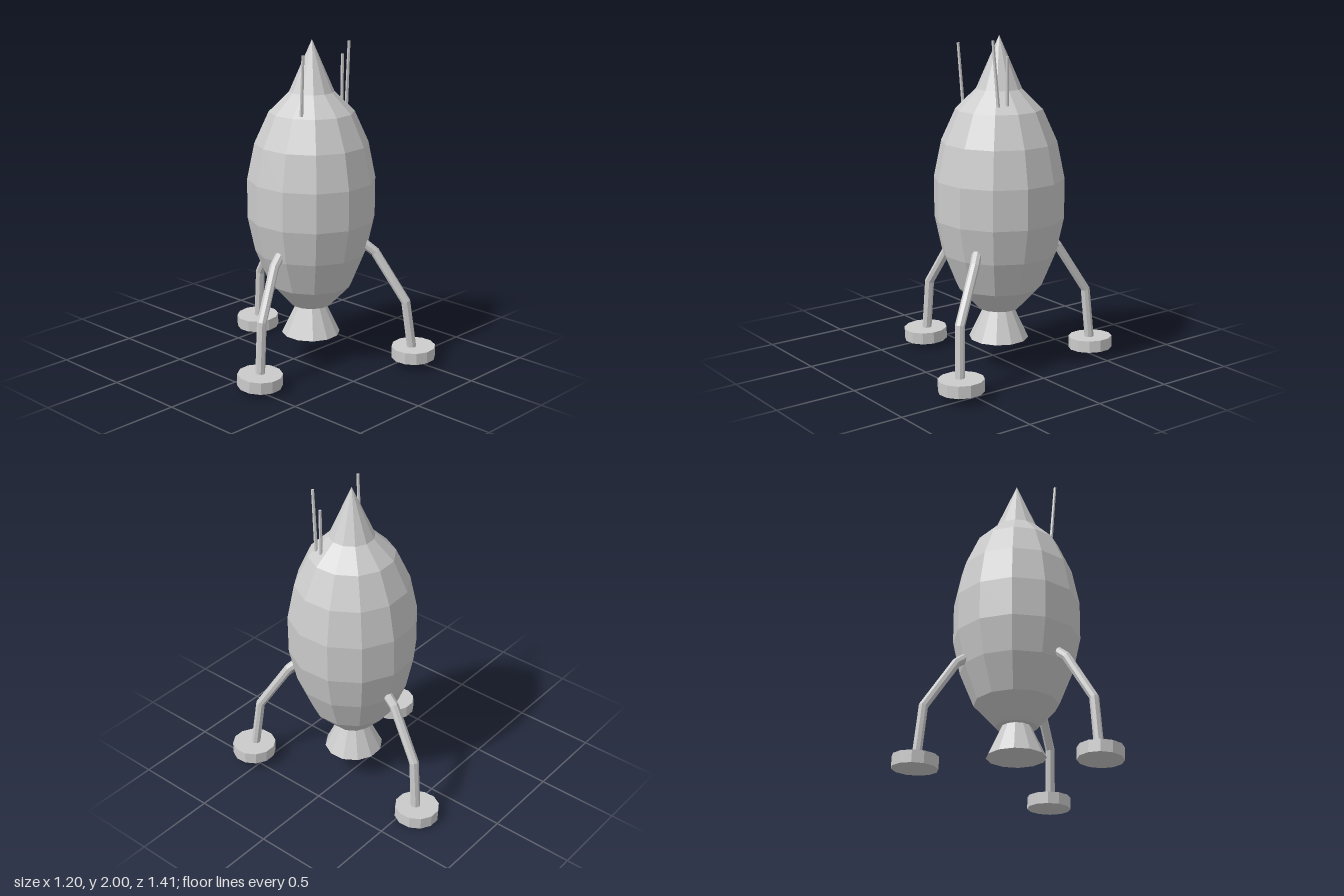
import * as THREE from 'three';

const SIDES = 12;
const PHASE = THREE.MathUtils.degToRad(18);
const AXIS = new THREE.Vector3(0.113, 0, 0.04);

// Polyline path with mitred joints, sampled exactly at its corner points
class JointedPath extends THREE.Curve {
  constructor(points) {
    super();
    this.points = points;
  }
  getPoint(t, target = new THREE.Vector3()) {
    const f = t * (this.points.length - 1);
    const i = Math.min(Math.floor(f + 1e-6), this.points.length - 2);
    return target.lerpVectors(this.points[i], this.points[i + 1], f - i);
  }
  getPointAt(u, target) {
    return this.getPoint(u, target);
  }
  getTangentAt(u, target = new THREE.Vector3()) {
    const p = this.points, n = p.length - 1;
    const i = Math.round(u * n);
    const dir = (a, b) => new THREE.Vector3().subVectors(p[b], p[a]).normalize();
    const before = dir(Math.max(i - 1, 0), Math.max(i, 1));
    const after = dir(Math.min(i, n - 1), Math.min(i + 1, n));
    return target.addVectors(before, after).normalize();
  }
}

export function createModel() {
  const group = new THREE.Group();
  const material = new THREE.MeshStandardMaterial({ color: 0xcccccc, flatShading: true });

  function add(name, geometry, parent = group) {
    const mesh = new THREE.Mesh(geometry, material);
    mesh.name = name;
    parent.add(mesh);
    return mesh;
  }
  const lathe = (profile) => new THREE.LatheGeometry(
    profile.map(([r, y]) => new THREE.Vector2(r, y)), SIDES, PHASE);

  // Faceted hull with its pointed nose
  add('hull', lathe([
    [0, 0.36], [0.125, 0.36], [0.14, 0.375], [0.257, 0.5], [0.343, 0.71], [0.388, 0.92],
    [0.388, 1.16], [0.343, 1.38], [0.257, 1.57], [0.135, 1.69], [0, 2],
  ])).position.copy(AXIS);

  // Flared engine bell
  add('engineBell', lathe([[0, 0.17], [0.18, 0.17], [0.085, 0.37], [0, 0.37]])).position.copy(AXIS);

  // Landing legs: bent struts ending in slightly tilted round pads
  const legs = [
    {
      name: 'rightLeg', pad: [-0.47, 0.067, 0.183], tilt: [0.04, 0],
      path: [[-0.19, 0.77, 0.09], [-0.275, 0.7, 0.11], [-0.44, 0.41, 0.17], [-0.465, 0.08, 0.178]],
    },
    {
      name: 'backLeg', pad: [0.25, 0.047, -0.575], tilt: [0, 0.05],
      path: [[0.18, 0.77, -0.25], [0.195, 0.7, -0.345], [0.24, 0.395, -0.538], [0.253, 0.06, -0.568]],
    },
    {
      name: 'leftLeg', pad: [0.468, 0.085, 0.575], tilt: [0, 0.03],
      path: [[0.275, 0.775, 0.32], [0.325, 0.715, 0.375], [0.418, 0.415, 0.547], [0.455, 0.1, 0.575]],
    },
  ];
  for (const { name, pad, tilt, path } of legs) {
    const leg = new THREE.Group();
    leg.name = name;
    group.add(leg);
    const curve = new JointedPath(path.map((p) => new THREE.Vector3(...p)));
    add('strut', new THREE.TubeGeometry(curve, path.length - 1, 0.029, 8), leg);
    const foot = add('footPad',
      new THREE.CylinderGeometry(0.135, 0.135, 0.073, SIDES, 1, false, PHASE), leg);
    foot.position.set(...pad);
    foot.rotation.set(tilt[0], 0, tilt[1]);
  }

  // Thin antennas standing on the shoulder
  const antennas = [
    [[-0.092, 1.585, 0.153], [-0.105, 1.945, 0.177]],
    [[0.277, 1.61, 0.17], [0.263, 1.99, 0.198]],
    [[0.294, 1.61, 0.118], [0.294, 1.9, 0.118]],
  ];
  for (const [base, tip] of antennas) {
    const a = new THREE.Vector3(...base), b = new THREE.Vector3(...tip);
    const rod = add('antenna', new THREE.CylinderGeometry(0.009, 0.011, a.distanceTo(b), 6));
    rod.position.lerpVectors(a, b, 0.5);
    rod.quaternion.setFromUnitVectors(new THREE.Vector3(0, 1, 0), b.sub(a).normalize());
  }

  return group;
}
